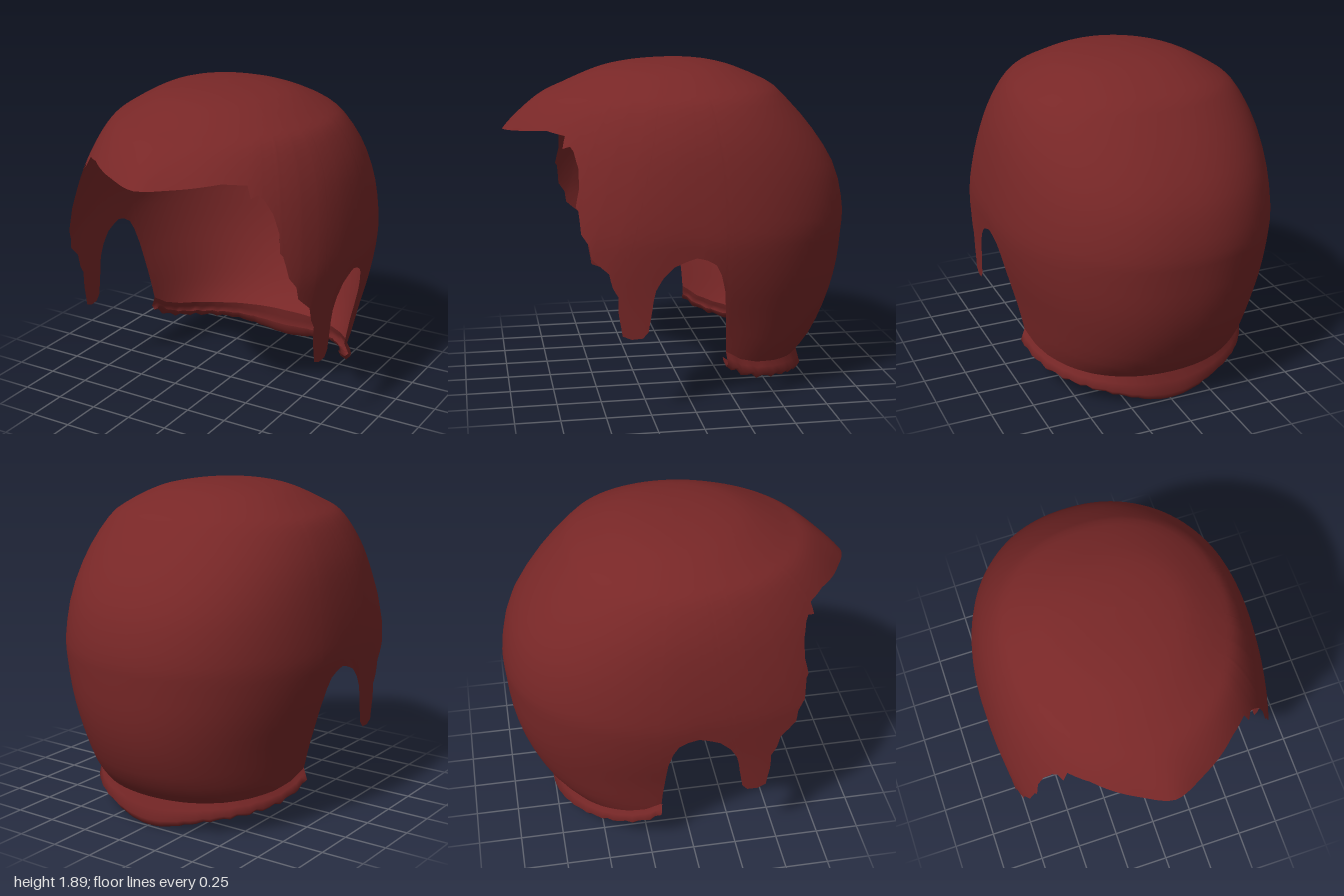
import * as THREE from 'three';

// Horizontal cross-sections, crown to nape:
// [y, half width behind, half width ahead, front depth, back depth, front squareness]
const SECTIONS = [
  [1.9, 0, 0, 0, 0, 2],
  [1.893, 0.14, 0.14, 0.17, 0.13, 2],
  [1.875, 0.27, 0.27, 0.32, 0.25, 2],
  [1.84, 0.4, 0.4, 0.46, 0.37, 2],
  [1.76, 0.55, 0.55, 0.65, 0.55, 2],
  [1.68, 0.65, 0.65, 0.8, 0.64, 2],
  [1.5, 0.74, 0.74, 0.96, 0.8, 2],
  [1.28, 0.79, 0.79, 1.03, 0.94, 2.2],
  [1.05, 0.815, 0.815, 1.05, 0.995, 2.5],
  [0.9, 0.81, 0.81, 1.08, 0.99, 2.7],
  [0.7, 0.775, 0.795, 1.1, 0.97, 3],
  [0.5, 0.725, 0.79, 1.1, 0.92, 3],
  [0.3, 0.685, 0.79, 1.1, 0.83, 3],
  [0.18, 0.655, 0.79, 1.1, 0.73, 3],
];

// Lower outline of the left half: fringe as [x, y], the rest as [z, y]
const FRINGE = [[0, 1.51], [0.1, 1.515], [0.25, 1.53], [0.4, 1.55], [0.5, 1.535], [0.53, 1.47], [0.55, 1.485], [0.575, 1.46]];
const SIDE = [
  [0.62, 1.38], [0.62, 1.28], [0.65, 1.18], [0.63, 1.16], [0.62, 1.04], [0.58, 0.98], [0.57, 0.91],
  [0.48, 0.83], [0.46, 0.75], [0.43, 0.7], [0.43, 0.6], [0.41, 0.48], [0.36, 0.46], [0.3, 0.465], [0.27, 0.5],
  [0.25, 0.62], [0.23, 0.73], [0.19, 0.8], [0.13, 0.86], [0.06, 0.89], [0.01, 0.905],
  [-0.05, 0.89], [-0.1, 0.86], [-0.13, 0.8], [-0.155, 0.7], [-0.17, 0.5],
];
const NAPE = [[-0.18, 0.33], [-0.27, 0.27], [-0.37, 0.235], [-0.5, 0.21], [-0.6, 0.195], [-0.69, 0.185], [-0.74, 0.18]];

// Smooth cross-section at fractional index k
function section(k) {
  const last = SECTIONS.length - 1;
  const i = Math.min(Math.floor(k), last - 1), t = k - i;
  const [a, b, c, d] = [i - 1, i, i + 1, i + 2].map(n => SECTIONS[THREE.MathUtils.clamp(n, 0, last)]);
  return b.map((v, n) => v + 0.5 * t * (c[n] - a[n]
    + t * (2 * a[n] - 5 * v + 4 * c[n] - d[n] + t * (3 * (v - c[n]) + d[n] - a[n]))));
}

function indexAtHeight(y) {
  let lo = 0, hi = SECTIONS.length - 1;
  for (let n = 0; n < 30; n++) {
    const mid = (lo + hi) / 2;
    if (section(mid)[0] > y) lo = mid; else hi = mid;
  }
  return (lo + hi) / 2;
}

// Point on the shell: angle 0 is the front, PI the back
function shellPoint(k, angle, side) {
  const [y, wBack, wFront, front, back, squareness] = section(k);
  const ahead = angle < Math.PI / 2;
  const e = 2 / (ahead ? squareness : 2.2);
  const x = (ahead ? wFront : wBack) * Math.pow(Math.abs(Math.sin(angle)), e);
  let z = Math.pow(Math.abs(Math.cos(angle)), e) * (ahead ? front : -back);
  // small peak in the middle of the fringe
  if (ahead) z += 0.04 * Math.exp(-((x / 0.13) ** 2)) * THREE.MathUtils.clamp((1.75 - y) / 0.24, 0, 1);
  return new THREE.Vector3(x * side, y, z);
}

// Turn the outline into columns of { angle, y }
function outlineColumns() {
  const knots = [];
  const add = (angle, y, hem) => {
    const before = knots.length ? knots[knots.length - 1].angle + 0.002 : 0;
    knots.push({ angle: Math.max(angle, before), y, hem });
  };
  for (const [x, y] of FRINGE) {
    const s = section(indexAtHeight(y));
    add(Math.asin(Math.min(1, Math.pow(x / s[2], s[5] / 2))), y, false);
  }
  const addByDepth = hem => ([z, y]) => {
    const s = section(indexAtHeight(y));
    const c = z > 0 ? Math.pow(z / s[3], s[5] / 2) : -Math.pow(Math.min(1, -z / s[4]), 1.1);
    add(Math.acos(c), y, hem);
  };
  SIDE.forEach(addByDepth(false));
  NAPE.forEach(addByDepth(true));
  knots[knots.length - 1].angle = Math.PI;

  const columns = [];
  for (let i = 0; i < knots.length - 1; i++) {
    const a = knots[i], b = knots[i + 1];
    const steps = Math.max(2, Math.ceil((b.angle - a.angle) / 0.06));
    for (let n = 0; n < steps; n++) {
      const t = n / steps;
      columns.push({
        angle: THREE.MathUtils.lerp(a.angle, b.angle, t),
        y: THREE.MathUtils.lerp(a.y, b.y, t), hem: a.hem,
      });
    }
  }
  columns.push(knots[knots.length - 1]);
  return columns;
}

// Smooth surface from columns of points, each running downward
function skin(columns, closed) {
  const rows = columns[0].length, count = columns.length, index = [];
  for (let i = 0; i < (closed ? count : count - 1); i++) {
    for (let j = 0; j < rows - 1; j++) {
      const a = i * rows + j, d = ((i + 1) % count) * rows + j;
      index.push(a, a + 1, d + 1, a, d + 1, d);
    }
  }
  const geometry = new THREE.BufferGeometry().setFromPoints(columns.flat());
  geometry.setIndex(index);
  geometry.computeVertexNormals();
  return geometry;
}

export function createModel() {
  const hair = new THREE.MeshStandardMaterial({ color: 0x782727, side: THREE.DoubleSide });
  hair.name = 'dark red hair';
  const group = new THREE.Group();
  group.name = 'hair';
  const addMesh = (name, geometry) => {
    const mesh = new THREE.Mesh(geometry, hair);
    mesh.name = name;
    group.add(mesh);
  };

  const half = outlineColumns().map(c => ({ ...c, side: 1 }));
  const mirrored = half.slice(1, -1).reverse().map(c => ({ ...c, side: -1 }));
  const all = [...half, ...mirrored];

  // Cap with fringe, side locks and ear openings
  const ROWS = 30;
  addMesh('hairCap', skin(all.map(({ angle, y, side }) => {
    const end = indexAtHeight(y);
    return Array.from({ length: ROWS + 1 }, (_, j) => shellPoint(end * j / ROWS, angle, side));
  }), true));

  // Uneven lip flaring out below the nape and turning under
  const hemColumns = all.filter(c => c.hem);
  addMesh('napeHem', skin(hemColumns.map(({ angle, y, side }, i) => {
    const edge = shellPoint(indexAtHeight(y), angle, side);
    const out = new THREE.Vector3(edge.x, 0, edge.z).normalize();
    const jag = 0.012 * Math.sin(i * 2.3) * Math.sin(angle);
    const drop = 0.085 + 0.085 * Math.exp(-((edge.x / 0.3) ** 2)) + jag;
    return [[0, 0], [0.012, 0.35], [0.028, 0.75], [0.005, 1], [-0.03, 0.75], [-0.04, 0.5]].map(([o, d]) =>
      edge.clone().addScaledVector(out, o).setY(edge.y - drop * d));
  }), false));

  return group;
}
